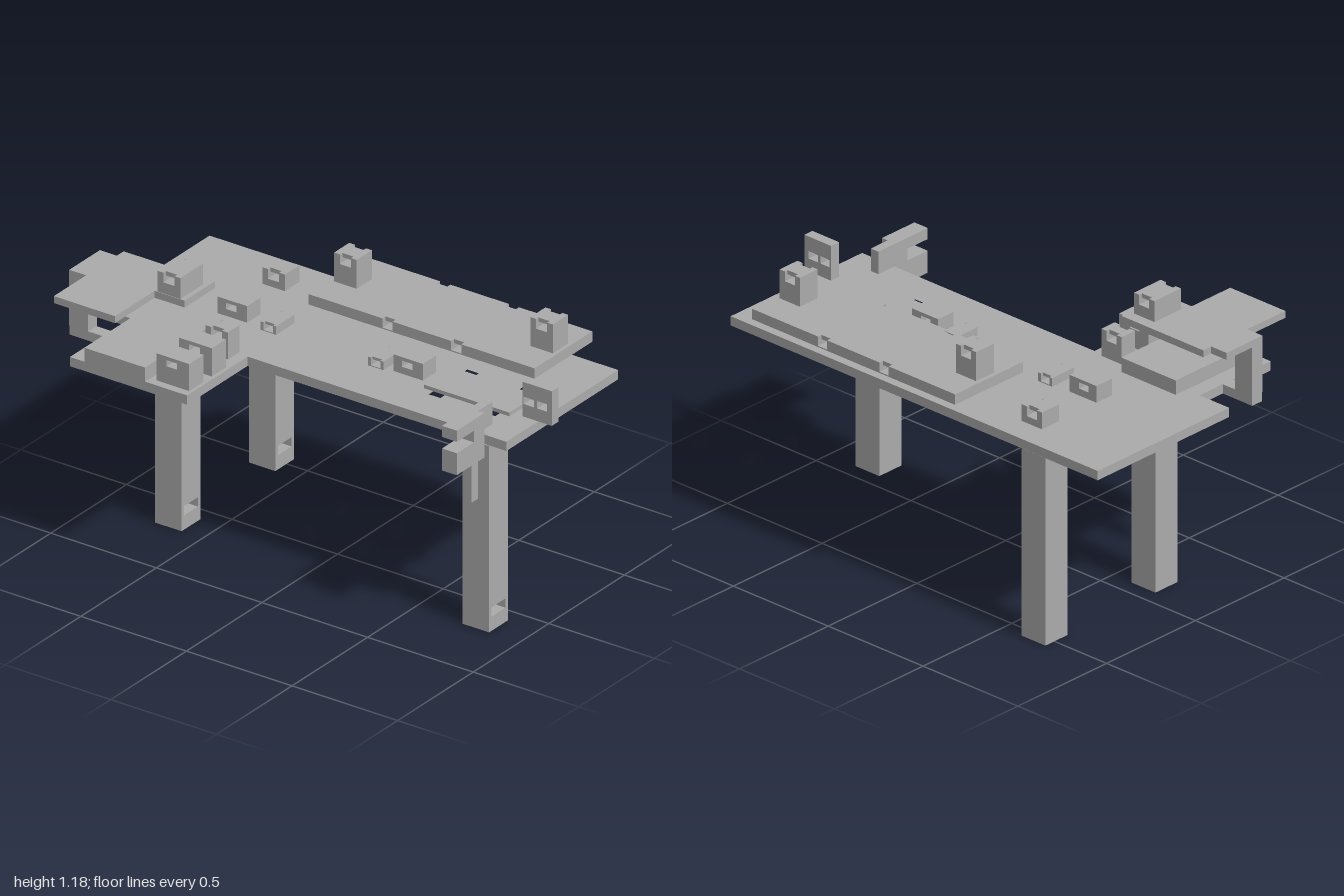
import * as THREE from 'three';

export function createModel() {
  const model = new THREE.Group();
  model.name = 'equipmentDeck';
  const grey = new THREE.MeshStandardMaterial({ color: 0xababab });
  grey.name = 'plain grey';

  const add = (name, geometry, parent = model) => {
    const mesh = new THREE.Mesh(geometry, grey);
    mesh.name = name;
    parent.add(mesh);
    return mesh;
  };
  const poly = (pts, Type = THREE.Shape) => new Type(pts.map(([a, b]) => new THREE.Vector2(a, b)));
  const rect = (x0, x1, y0, y1) => [[x0, y0], [x1, y0], [x1, y1], [x0, y1]];
  const extrude = (shape, depth) =>
    new THREE.ExtrudeGeometry(shape, { depth, bevelEnabled: false, curveSegments: 16 });

  const box = (name, x0, x1, y0, y1, z0, z1, parent) => {
    const g = new THREE.BoxGeometry(x1 - x0, y1 - y0, z1 - z0);
    g.translate((x0 + x1) / 2, (y0 + y1) / 2, (z0 + z1) / 2);
    return add(name, g, parent);
  };
  // Plan outline in (x, z), raised from y0 to y1
  const plan = (name, pts, y0, y1, holes = [], parent) => {
    const flip = p => p.map(([x, z]) => [x, -z]);
    const shape = poly(flip(pts));
    holes.forEach(h => shape.holes.push(h instanceof THREE.Path ? h : poly(flip(h), THREE.Path)));
    return add(name, extrude(shape, y1 - y0).rotateX(-Math.PI / 2).translate(0, y0, 0), parent);
  };
  // Front outline in (x, y), running from z0 to z1
  const front = (name, pts, z0, z1, holes = [], parent) => {
    const shape = poly(pts);
    holes.forEach(h => shape.holes.push(poly(h, THREE.Path)));
    return add(name, extrude(shape, z1 - z0).translate(0, 0, z0), parent);
  };
  // Side outline in (z, y), running from x0 to x1
  const side = (name, pts, x0, x1) =>
    add(name, extrude(poly(pts.map(([z, y]) => [-z, y])), x1 - x0)
      .rotateY(Math.PI / 2).translate(x0, 0, 0));

  // Block with strap tunnels along z whose two ends are open at the top
  const strapBlock = (name, x0, x1, y0, y1, z0, z1, slots, low, roof, notch = 0.016) => {
    const g = new THREE.Group();
    g.name = name;
    model.add(g);
    front('body', rect(x0, x1, y0, y1), z0 + notch, z1 - notch,
      slots.map(([a, b]) => rect(a, b, low, roof)), g);
    const outline = [[x0, y0], [x1, y0], [x1, y1]];
    [...slots].reverse().forEach(([a, b]) => outline.push([b, y1], [b, low], [a, low], [a, y1]));
    outline.push([x0, y1]);
    front('backEnd', outline, z0, z0 + notch, [], g);
    front('frontEnd', outline, z1 - notch, z1, [], g);
  };

  // Deck plate with strap holes and a cable cutout at the side
  const deckHoles = [];
  for (const x of [0.46, 0.72])
    for (const z of [-0.215, 0.005]) deckHoles.push(rect(x, x + 0.055, z, z + 0.035));
  plan('deck', [[-1, -0.55], [0.935, -0.55], [0.935, 0.19], [-0.29, 0.19], [-0.29, 0.59],
    [-0.845, 0.59], [-0.845, 0.375], [-1, 0.375], [-1, 0.32], [-0.845, 0.32],
    [-0.845, 0.19], [-1, 0.19]], 0.808, 0.848, deckHoles);

  // Three legs, each with a nut pocket on its left face and a bolt hole below
  for (const [cx, cz] of [[-0.662, 0.132], [-0.662, -0.488], [0.794, 0.132]]) {
    const leg = new THREE.Group();
    leg.name = 'leg';
    model.add(leg);
    const r = 0.0625;
    const bolt = new THREE.Path();
    bolt.absarc(cx, -cz, 0.024, 0, Math.PI * 2, true);
    plan('foot', rect(cx - r, cx + r, cz - r, cz + r), 0, 0.062, [bolt], leg);
    plan('nutPocket', [[cx - r, cz - r], [cx + r, cz - r], [cx + r, cz - 0.045],
      [cx - 0.026, cz - 0.045], [cx - 0.052, cz], [cx - 0.026, cz + 0.045],
      [cx + r, cz + 0.045], [cx + r, cz + r], [cx - r, cz + r]], 0.062, 0.102, [], leg);
    box('shaft', cx - r, cx + r, 0.102, 0.808, cz - r, cz + r, leg);
  }

  // Long raised tray on two spacers
  strapBlock('tray', -0.29, 0.78, 0.905, 0.95, -0.595, -0.213,
    [[0.06, 0.108], [0.385, 0.433]], 0.91, 0.932, 0.02);
  for (const x of [-0.087, 0.49]) box('traySpacer', x, x + 0.092, 0.848, 0.905, -0.445, -0.318);

  // Tall and short strap mounts: x, bottom, top, z range
  const mounts = [
    [-0.272, 0.95, 1.075, -0.457, -0.357], [0.657, 0.95, 1.075, -0.457, -0.357],
    [-0.6, 0.848, 0.92, -0.437, -0.34], [-0.617, 1.09, 1.18, 0.178, 0.328],
    [-0.445, 0.848, 0.965, 0.178, 0.253],
  ];
  for (const [x, y0, y1, z0, z1] of mounts)
    strapBlock('strapMount', x, x + 0.107, y0, y1, z0, z1,
      [[x + 0.027, x + 0.08]], y1 - 0.042, y1 - 0.018);

  // Small cable clips
  for (const x of [-0.38, 0.128])
    strapBlock('cableClip', x, x + 0.073, 0.848, 0.885, -0.145, -0.022,
      [[x + 0.014, x + 0.059]], 0.852, 0.873, 0.012);

  // Plain blocks with a tunnel through them
  const blocks = [
    [-0.598, -0.457, 0.92, -0.128, -0.04], [0.237, 0.375, 0.92, -0.128, -0.04],
    [-0.46, -0.305, 0.97, 0.313, 0.405], [-0.46, -0.305, 0.965, 0.46, 0.555],
  ];
  for (const [x0, x1, y1, z0, z1] of blocks) {
    const c = (x0 + x1) / 2 - 0.005;
    front('tunnelBlock', rect(x0, x1, 0.848, y1), z0, z1,
      [rect(c - 0.025, c + 0.025, y1 - 0.042, y1 - 0.015)]);
  }

  // Thin pad beside the side arm
  box('pad', 0.417, 0.82, 0.848, 0.864, -0.173, 0.01);

  // Upright plate with two windows
  front('windowPlate', rect(0.86, 1, 0.848, 0.998), -0.065, -0.02,
    [rect(0.867, 0.915, 0.903, 0.935), rect(0.93, 0.978, 0.903, 0.935)]);

  // Hooked arm hanging over the front edge
  box('armBar', 0.765, 0.805, 0.848, 0.945, 0.1, 0.195);
  side('armHook', [[0.195, 0.752], [0.378, 0.752], [0.378, 0.847], [0.265, 0.847],
    [0.265, 0.897], [0.378, 0.897], [0.378, 0.945], [0.195, 0.945]], 0.765, 0.835);
  box('armPost', 0.765, 0.805, 0.565, 0.752, 0.195, 0.24);

  // Corner platform, its post and the raised shelf
  box('platform', -0.775, -0.488, 0.848, 0.91, 0.13, 0.592);
  box('shelfPost', -1, -0.91, 0.848, 1.06, 0.32, 0.378);
  plan('shelf', [[-1, 0.175], [-0.92, 0.175], [-0.92, 0.13], [-0.488, 0.13], [-0.488, 0.33],
    [-0.63, 0.33], [-0.63, 0.592], [-0.92, 0.592], [-0.92, 0.378], [-1, 0.378]], 1.06, 1.09);

  return model;
}
